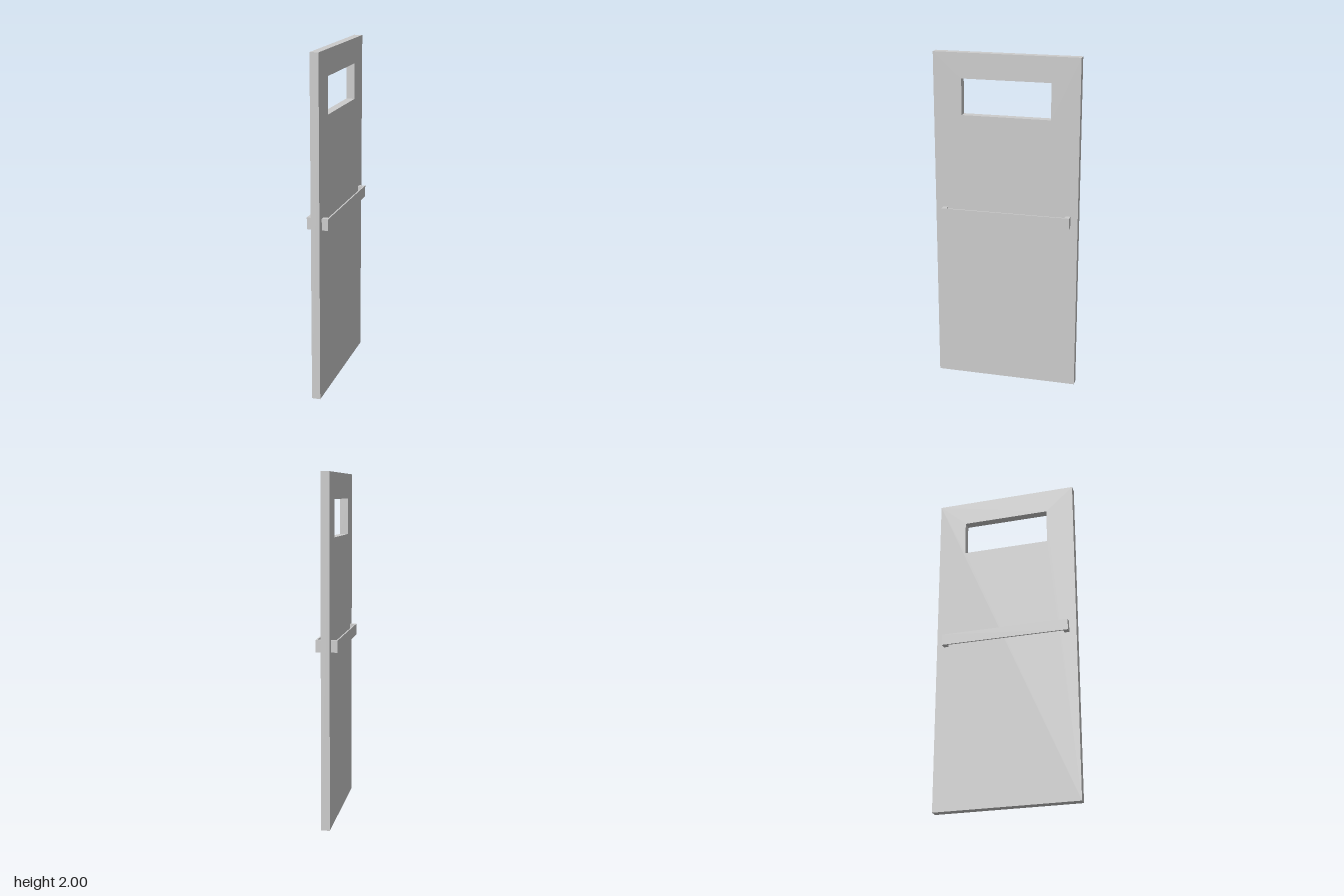
import * as THREE from 'three';

const mat = new THREE.MeshStandardMaterial({ color: 0xcccccc, flatShading: true });

// Extrudes a shape drawn in (x, y) by a depth, starting at z = 0
function extrude(shape, depth) {
  return new THREE.ExtrudeGeometry(shape, { depth, bevelEnabled: false });
}

function polygon(points) {
  return points.map(([x, y]) => new THREE.Vector2(x, y));
}

export function createModel() {
  const group = new THREE.Group();

  // Door leaf with a rectangular window opening
  const W = 0.428, T = 0.025;
  const leaf = new THREE.Shape(polygon([[-W, 0], [W, 0], [W, 2], [-W, 2]]));
  leaf.holes.push(new THREE.Path(polygon([[-0.262, 1.64], [-0.262, 1.852], [0.262, 1.852], [0.262, 1.64]])));
  const leafGeo = extrude(leaf, 2 * T);
  leafGeo.translate(0, 0, -T).rotateY(Math.PI / 2);
  const door = new THREE.Mesh(leafGeo, mat);
  door.name = 'doorLeaf';
  group.add(door);

  // Bracket-shaped push bar, one on each face
  const L = 0.385, inner = 0.356, reach = 0.0375, gap = 0.029, height = 0.068;
  const bar = new THREE.Shape(polygon([
    [-L, 0], [-inner, 0], [-inner, gap], [inner, gap],
    [inner, 0], [L, 0], [L, reach], [-L, reach],
  ]));
  const barGeo = extrude(bar, height);
  barGeo.rotateX(-Math.PI / 2).translate(0, 1.01, -T);
  for (const [name, angle] of [['rightPushBar', Math.PI / 2], ['leftPushBar', -Math.PI / 2]]) {
    const mesh = new THREE.Mesh(barGeo, mat);
    mesh.name = name;
    mesh.rotation.y = angle;
    group.add(mesh);
  }
  return group;
}
